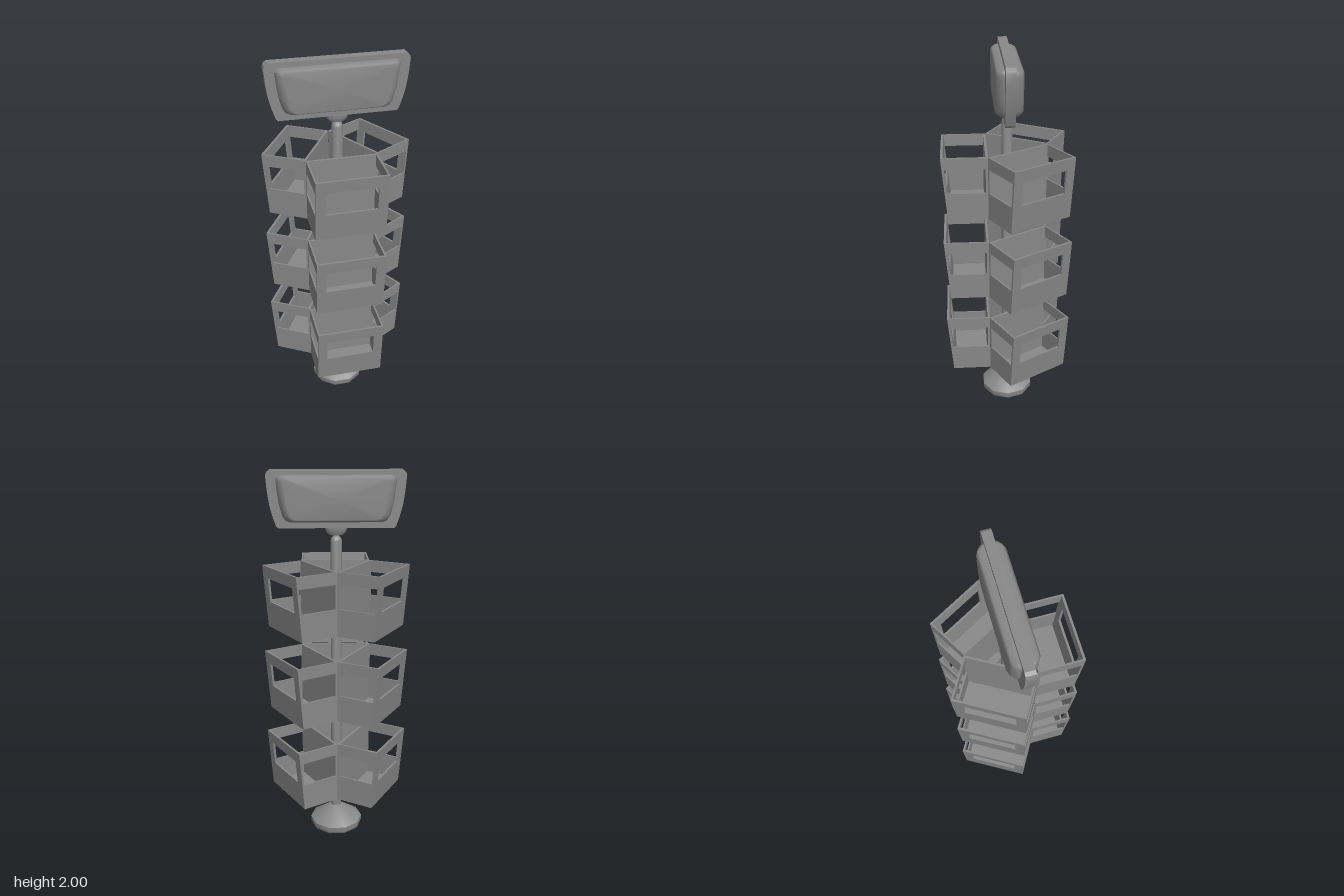
import * as THREE from 'three';
import { toCreasedNormals } from 'three/addons/utils/BufferGeometryUtils.js';

const material = new THREE.MeshStandardMaterial({ color: 0x888888 });

function add(parent, name, geometry) {
  const mesh = new THREE.Mesh(geometry, material);
  mesh.name = name;
  parent.add(mesh);
  return mesh;
}

const polygon = (points) => points.map(([x, y]) => new THREE.Vector2(x, y));

function extrude(outline, hole, depth) {
  const shape = new THREE.Shape(polygon(outline));
  if (hole) shape.holes.push(new THREE.Path(polygon(hole)));
  return new THREE.ExtrudeGeometry(shape, { depth, bevelEnabled: false });
}

// Bin dimensions, y measured from the bin's bottom, z from the pole axis
const HALF = 0.18, HEIGHT = 0.331, WALL = 0.012, SIDE = 0.009;
const BACK = 0.104, FRONT_LOW = 0.309, FRONT_HIGH = 0.337;
const SILL = 0.143, HEAD = 0.269, WINDOW = 0.13;
const frontAt = (y) => FRONT_LOW + (FRONT_HIGH - FRONT_LOW) * y / HEIGHT;

function createBin() {
  const bin = new THREE.Group();
  bin.name = 'bin';
  const inner = HALF - SIDE;

  // Side walls with a window following the sloping front
  for (const side of [-1, 1]) {
    const wall = extrude(
      [[BACK, 0], [frontAt(0), 0], [frontAt(HEIGHT), HEIGHT], [BACK, HEIGHT]],
      [[BACK + WALL, SILL], [BACK + WALL, HEAD], [frontAt(HEAD) - WALL, HEAD], [frontAt(SILL) - WALL, SILL]],
      SIDE);
    wall.rotateY(-Math.PI / 2);
    wall.translate(side > 0 ? HALF : -inner, 0, 0);
    add(bin, side > 0 ? 'leftWall' : 'rightWall', wall);
  }

  // Front wall with a window, sheared outwards towards the top
  const front = extrude(
    [[-inner, 0], [inner, 0], [inner, HEIGHT], [-inner, HEIGHT]],
    [[-WINDOW, SILL], [-WINDOW, HEAD], [WINDOW, HEAD], [WINDOW, SILL]],
    WALL);
  const p = front.attributes.position;
  for (let i = 0; i < p.count; i++) p.setZ(i, p.getZ(i) - WALL + frontAt(p.getY(i)));
  front.computeVertexNormals();
  add(bin, 'frontWall', front);

  // Back wall and floor
  const back = new THREE.BoxGeometry(2 * inner, HEIGHT, WALL);
  add(bin, 'backWall', back.translate(0, HEIGHT / 2, BACK + WALL / 2));
  const depth = FRONT_LOW - BACK - 2 * WALL;
  const floor = new THREE.BoxGeometry(2 * inner, WALL, depth);
  add(bin, 'floor', floor.translate(0, WALL / 2, BACK + WALL + depth / 2));
  return bin;
}

// Ten-sided turned part with a corner on the x axis
function turned(points) {
  const geometry = new THREE.LatheGeometry(polygon(points), 10);
  geometry.rotateY(Math.PI / 2);
  return toCreasedNormals(geometry, 0.65);
}

// Closed outline mirrored from its +x half, listed bottom to top
function mirrored(half) {
  return [...half, ...half.map(([x, y]) => [-x, y]).reverse()];
}

// Smooth pillow: the outline shrunk about its middle height from ring to ring
function pillow(outline, middle, rings) {
  const n = outline.length, positions = [], index = [];
  for (const [scale, z] of rings) {
    for (const [x, y] of outline) positions.push(x * scale, middle + (y - middle) * scale, z);
  }
  const backCentre = rings.length * n, lastRing = backCentre - n;
  positions.push(0, middle, rings[0][1], 0, middle, rings[rings.length - 1][1]);
  for (let i = 0; i < n; i++) {
    const j = (i + 1) % n;
    for (let r = 0; r < lastRing; r += n) {
      index.push(r + i, r + j, r + n + j, r + i, r + n + j, r + n + i);
    }
    index.push(backCentre, j, i, backCentre + 1, lastRing + i, lastRing + j);
  }
  const geometry = new THREE.BufferGeometry();
  geometry.setAttribute('position', new THREE.Float32BufferAttribute(positions, 3));
  geometry.setIndex(index);
  geometry.computeVertexNormals();
  return geometry;
}

function createSign() {
  const sign = new THREE.Group();
  sign.name = 'sign';

  // Flat plate
  const plate = extrude(mirrored([
    [0.294, 1.713], [0.304, 1.722], [0.322, 1.775], [0.336, 1.83], [0.346, 1.9],
    [0.352, 1.975], [0.347, 1.988], [0.332, 2.0],
  ]), null, 0.048);
  add(sign, 'signPlate', toCreasedNormals(plate.translate(0, 0, -0.024), 0.5));

  // Pillow-shaped panel bulging from both faces
  const half = [[1, 0.024], [0.975, 0.041], [0.925, 0.056], [0.86, 0.066]];
  const rings = [...half.map(([s, z]) => [s, -z]).reverse(), ...half];
  add(sign, 'signPanel', pillow(mirrored([
    [0.235, 1.742], [0.257, 1.752], [0.272, 1.775], [0.287, 1.83], [0.296, 1.89],
    [0.302, 1.95], [0.297, 1.968], [0.28, 1.975],
  ]), 1.86, rings));

  // Flattened socket joining sign and pole
  const socket = turned([[0, 1.673], [0.035, 1.675], [0.05, 1.69], [0.057, 1.708], [0.057, 1.72], [0, 1.72]]);
  add(sign, 'signSocket', socket.scale(1, 1, 0.42));
  return sign;
}

export function createModel() {
  const model = new THREE.Group();
  model.name = 'displayStand';
  const stand = new THREE.Group();
  stand.name = 'stand';
  stand.position.z = -0.005;
  model.add(stand);

  // Flared foot and pole with a rounded top
  add(stand, 'base', turned([
    [0, 0], [0.138, 0], [0.146, 0.012], [0.146, 0.04], [0.03, 0.121], [0, 0.121],
  ]));
  add(stand, 'pole', turned([
    [0, 0.11], [0.029, 0.11], [0.029, 1.65], [0.024, 1.663], [0.014, 1.672], [0, 1.675],
  ]));

  // Three tiers of three bins around the pole
  for (let tier = 0; tier < 3; tier++) {
    for (let k = 0; k < 3; k++) {
      const bin = createBin();
      bin.position.y = 0.266 + tier * 0.4645;
      bin.rotation.y = k * Math.PI * 2 / 3;
      stand.add(bin);
    }
  }

  const sign = createSign();
  sign.position.z = 0.004;
  stand.add(sign);
  return model;
}
